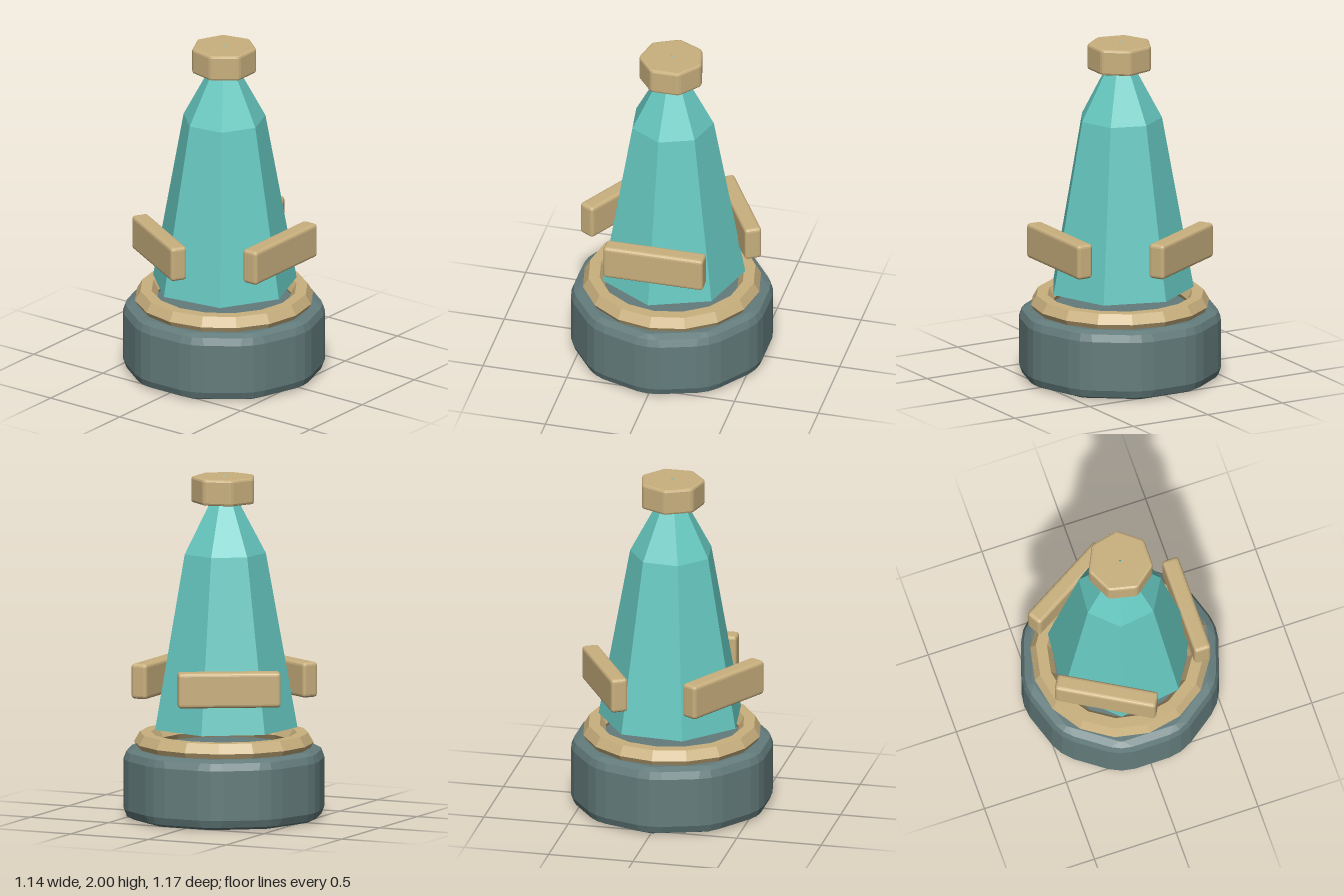
import * as THREE from 'three';
import { RoundedBoxGeometry } from 'three/addons/geometries/RoundedBoxGeometry.js';

function material(name, color) {
  const m = new THREE.MeshStandardMaterial({ color, flatShading: true });
  m.name = name;
  return m;
}

// Polygon loop of [x, z], inset from its sides, each corner cut into three points
function polygonLoop(sides, radius, start, inset = 0, cut = 0) {
  const half = Math.PI / sides;
  const r = radius - inset / Math.cos(half);
  const corner = (i) => {
    const a = start + i * 2 * half;
    return new THREE.Vector2(Math.sin(a) * r, Math.cos(a) * r);
  };
  const points = [];
  for (let i = 0; i < sides; i++) {
    const c = corner(i);
    if (!cut) { points.push(c); continue; }
    const before = corner(i - 1).sub(c).setLength(cut).add(c);
    const after = corner(i + 1).sub(c).setLength(cut).add(c);
    const mid = before.clone().add(after).multiplyScalar(0.5).lerp(c, 0.4);
    points.push(before, mid, after);
  }
  return points;
}

// Closed solid through stacked loops: rings = [{ y, loop }]
function loft(rings) {
  const pos = [];
  const n = rings[0].loop.length;
  const put = (k, j) => {
    const p = rings[k].loop[j % n];
    pos.push(p.x, rings[k].y, p.y);
  };
  const last = rings.length - 1;
  for (let j = 0; j < n; j++) {
    for (let k = 0; k < last; k++) {
      put(k, j); put(k, j + 1); put(k + 1, j + 1);
      put(k, j); put(k + 1, j + 1); put(k + 1, j);
    }
    pos.push(0, rings[0].y, 0);
    put(0, j + 1); put(0, j);
    pos.push(0, rings[last].y, 0);
    put(last, j); put(last, j + 1);
  }
  const g = new THREE.BufferGeometry();
  g.setAttribute('position', new THREE.Float32BufferAttribute(pos, 3));
  g.computeVertexNormals();
  return g;
}

// Upright prism with bevelled rims and bevelled vertical edges
function bevelledPrism(sides, radius, start, y0, y1, bevel, cut) {
  const steps = [[1, 0, 0.15], [0.29, 0.29, 0.8], [0, 1, 1]]; // inset, height, corner cut
  const ring = ([inset, , c], y) =>
    ({ y, loop: polygonLoop(sides, radius, start, inset * bevel, c * cut) });
  return loft([
    ...steps.map((s) => ring(s, y0 + s[1] * bevel)),
    ...steps.slice().reverse().map((s) => ring(s, y1 - s[1] * bevel)),
  ]);
}

export function createModel() {
  const model = new THREE.Group();
  const teal = material('teal', 0x66c8c0);
  const tan = material('tan', 0xc9b07e);
  const slate = material('slate', 0x647c7c);

  const add = (name, geometry, mat) => {
    const mesh = new THREE.Mesh(geometry, mat);
    mesh.name = name;
    model.add(mesh);
    return mesh;
  };

  // Ten-sided base
  add('base', bevelledPrism(10, 0.6, 0, 0, 0.41, 0.06, 0.08), slate);

  // Collar ring lying on the base
  const collar = new THREE.TorusGeometry(0.455, 0.065, 6, 16).rotateX(Math.PI / 2);
  add('collarRing', collar, tan).position.y = 0.44;

  // Seven-sided spire floating above the collar, its tip just through the cap
  const spireStart = THREE.MathUtils.degToRad(98.1);
  const profile = [[0.53, 0.426], [1.545, 0.243], [2.0, 0.001]];
  add('spire', loft(profile.map(([y, r]) =>
    ({ y, loop: polygonLoop(7, r, spireStart) }))), teal);

  // Cap
  add('cap', bevelledPrism(7, 0.193, Math.PI, 1.838, 1.99, 0.014, 0.016), tan);

  // Three bars around the spire
  const bar = new RoundedBoxGeometry(0.595, 0.205, 0.1, 2, 0.02);
  for (let i = 0; i < 3; i++) {
    const a = (i * 2 * Math.PI) / 3;
    const mesh = add('bar' + (i + 1), bar, tan);
    mesh.position.set(Math.sin(a) * 0.406, 0.802, Math.cos(a) * 0.406);
    mesh.rotation.y = a;
  }
  return model;
}
